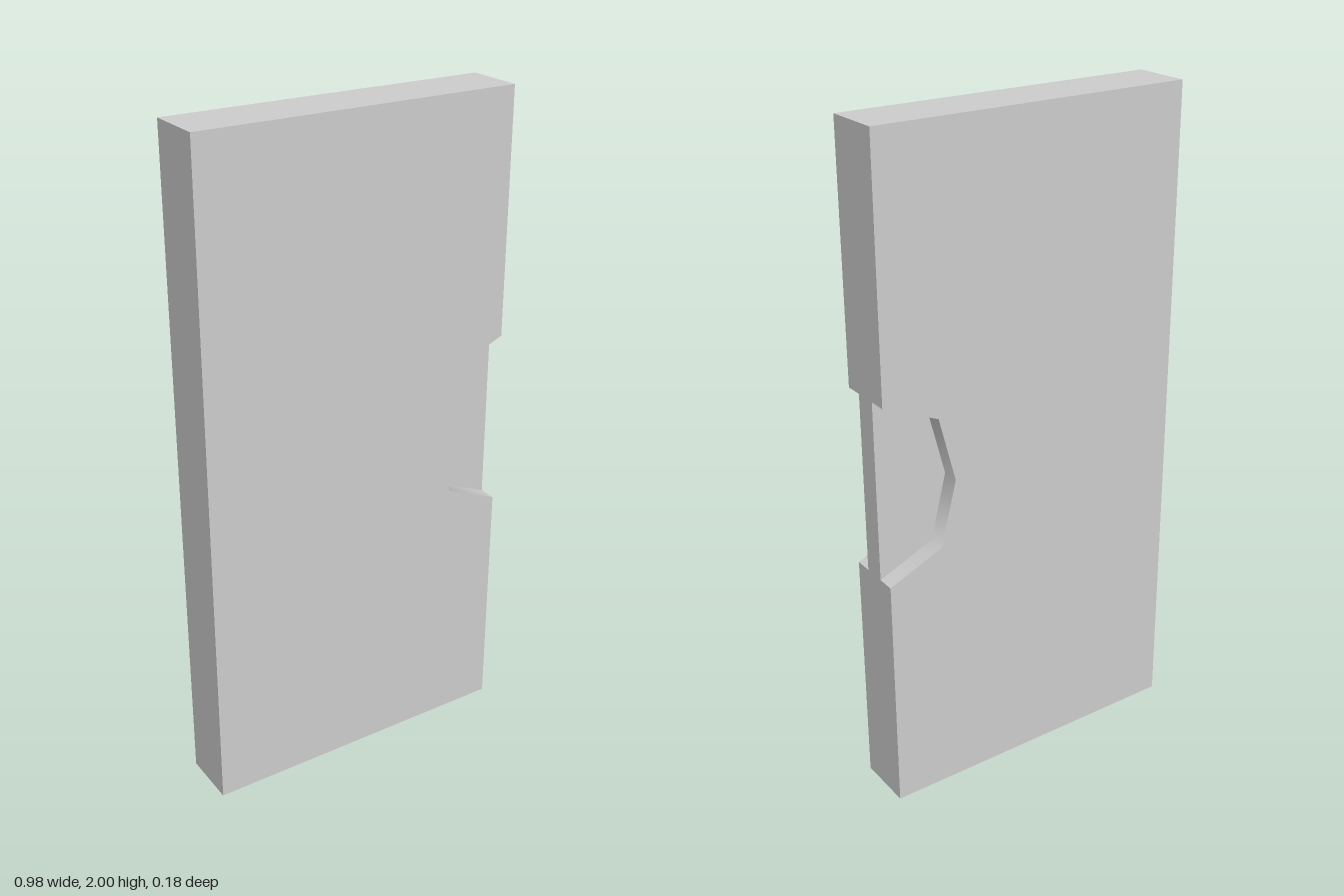
import * as THREE from 'three';
import { toCreasedNormals } from 'three/addons/utils/BufferGeometryUtils.js';

const W = 0.49, H = 2, T = 0.088, WEB = 0.034;

// Outline of the grip recess, from its upper to its lower end on the edge
const NOTCH = [[W, 1.27], [0.32, 1.197], [0.27, 1], [0.32, 0.803], [W, 0.73]];

// Extrude an outline to a slab centred on z = 0
function slab(name, points, half, material) {
  const shape = new THREE.Shape(points.map(([x, y]) => new THREE.Vector2(x, y)));
  const geometry = new THREE.ExtrudeGeometry(shape, { depth: half * 2, bevelEnabled: false });
  geometry.translate(0, 0, -half);
  // Blend the recess wall, keep all other corners sharp
  const mesh = new THREE.Mesh(toCreasedNormals(geometry, 1), material);
  mesh.name = name;
  return mesh;
}

export function createModel() {
  const group = new THREE.Group();
  group.name = 'slidingDoorPanel';
  const material = new THREE.MeshStandardMaterial({ color: 0xcccccc });

  // Full-thickness panel with the grip cut out of its left edge
  const lower = [...NOTCH].reverse();
  const outline = [[-W, 0], [W, 0], ...lower, [W, H], [-W, H]];
  group.add(slab('doorPanel', outline, T, material));

  // Thin web left between the front and back recesses
  group.add(slab('gripRecessFloor', NOTCH, WEB, material));

  return group;
}
